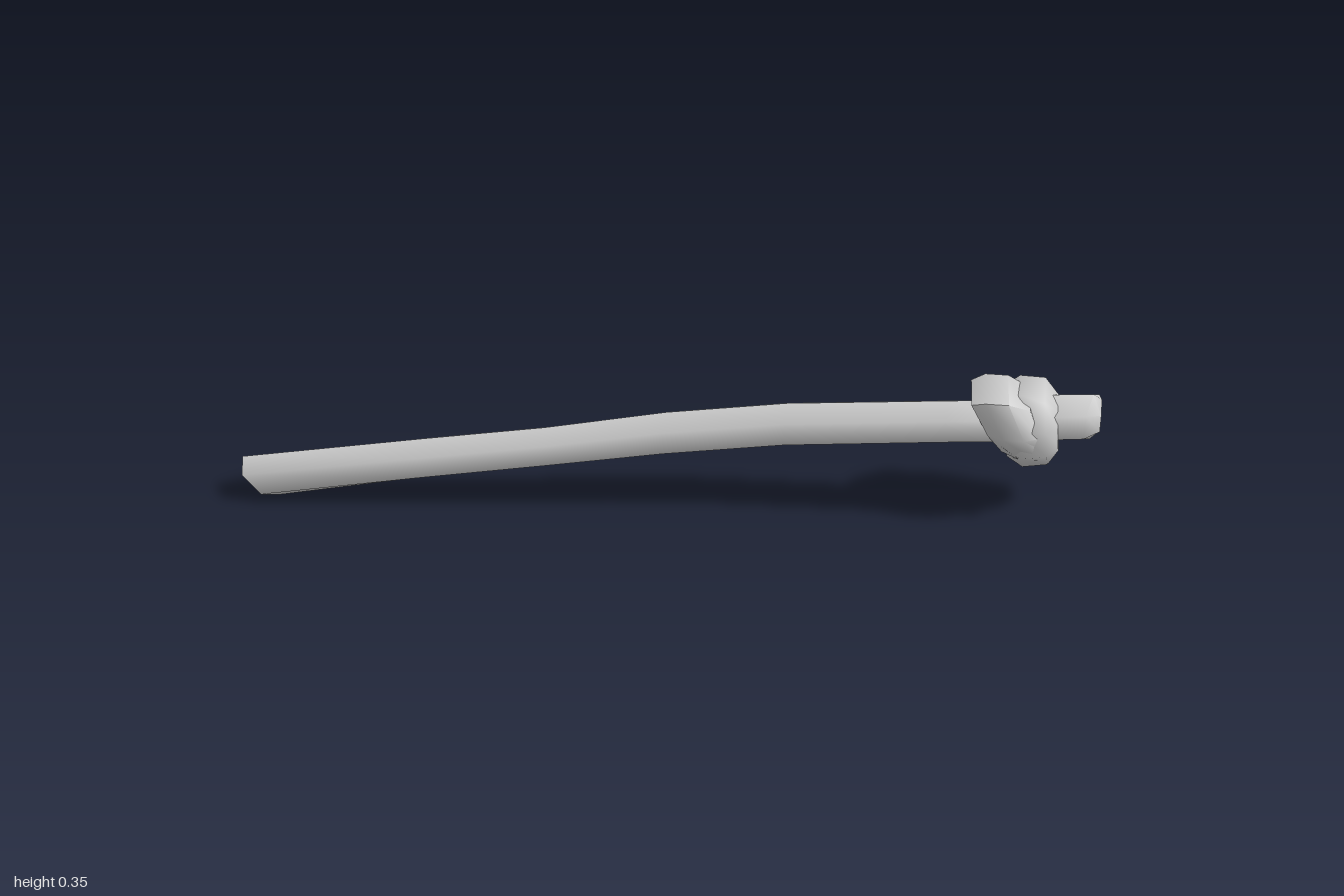
import * as THREE from 'three';
import { toCreasedNormals } from 'three/addons/utils/BufferGeometryUtils.js';

// Skins a closed outline of [y, z] offsets along x.
// Each ring: [x, y, z, scale, x slant per y, x slant per z]
function loft(outline, rings) {
  const n = outline.length, pos = [], idx = [];
  for (const [x, y, z, s, slantY = 0, slantZ = 0] of rings) {
    for (const [oy, oz] of outline) {
      const dy = oy * s, dz = oz * s;
      pos.push(x + slantY * dy + slantZ * dz, y + dy, z + dz);
    }
  }
  for (let i = 0; i < rings.length - 1; i++) {
    for (let j = 0; j < n; j++) {
      const a = i * n + j, b = i * n + (j + 1) % n;
      idx.push(a, a + n, b, b, a + n, b + n);
    }
  }
  // End caps
  const last = rings.length - 1, c = rings.length * n;
  pos.push(...rings[0].slice(0, 3), ...rings[last].slice(0, 3));
  for (let j = 0; j < n; j++) {
    const k = (j + 1) % n;
    idx.push(c, j, k, c + 1, last * n + k, last * n + j);
  }
  const geo = new THREE.BufferGeometry();
  geo.setAttribute('position', new THREE.Float32BufferAttribute(pos, 3));
  geo.setIndex(idx);
  return toCreasedNormals(geo, 1.12);
}

export function createModel() {
  const group = new THREE.Group();
  const ropeGrey = new THREE.MeshStandardMaterial({ color: 0xcccccc });
  ropeGrey.name = 'rope grey';

  const add = (name, outline, rings) => {
    const mesh = new THREE.Mesh(loft(outline, rings), ropeGrey);
    mesh.name = name;
    group.add(mesh);
  };

  // Six-sided strand section, pointed at top and bottom
  const hexagon = Array.from({ length: 6 }, (_, i) => {
    const t = i * Math.PI / 3;
    return [Math.cos(t), -Math.sin(t)];
  });

  // Long sagging strand with a slanted cut at the low end
  add('strand', hexagon, [
    [-0.955, 0.05, 0.104, 0.05, -0.85, -0.3],
    [-0.57, 0.112, 0.073, 0.053],
    [-0.28, 0.152, 0.047, 0.052],
    [0, 0.19, 0.01, 0.056],
    [0.28, 0.225, -0.01, 0.056],
    [0.65, 0.255, -0.022, 0.055],
    [0.82, 0.26, -0.04, 0.055],
  ]);

  // Short free end poking out of the knot
  add('freeEnd', hexagon, [
    [0.84, 0.26, -0.06, 0.058],
    [0.90, 0.262, -0.063, 0.06],
    [0.98, 0.262, -0.075, 0.06, 0, -0.3],
    [1.0, 0.264, -0.08, 0.043],
  ]);

  // Inner turn of the knot, leaning back over the strand
  const innerTurn = [
    [0.09, 0.09], [0.10, -0.03], [0.05, -0.09], [-0.03, -0.10],
    [-0.085, -0.04], [-0.075, 0.05], [0, 0.095],
  ];
  add('innerKnotTurn', innerTurn, [
    [0.745, 0.255, -0.05, 0.84, -0.55],
    [0.78, 0.255, -0.05, 1, -0.5],
    [0.828, 0.255, -0.05, 1, -0.45],
    [0.865, 0.25, -0.055, 0.78, -0.4],
  ]);

  // Outer turn of the knot, a rounded lump around the free end
  const outerTurn = [
    [0.10, 0.04], [0.10, -0.05], [0.07, -0.08], [0.03, -0.092],
    [-0.07, -0.093], [-0.107, -0.05], [-0.105, 0.02], [-0.05, 0.075],
    [0.025, 0.09], [0.09, 0.06],
  ];
  add('outerKnotTurn', outerTurn, [
    [0.785, 0.24, -0.06, 0.78, -0.1],
    [0.82, 0.24, -0.06, 1, -0.1],
    [0.878, 0.245, -0.06, 0.95, -0.1],
    [0.905, 0.245, -0.062, 0.62, -0.08],
  ]);

  return group;
}
